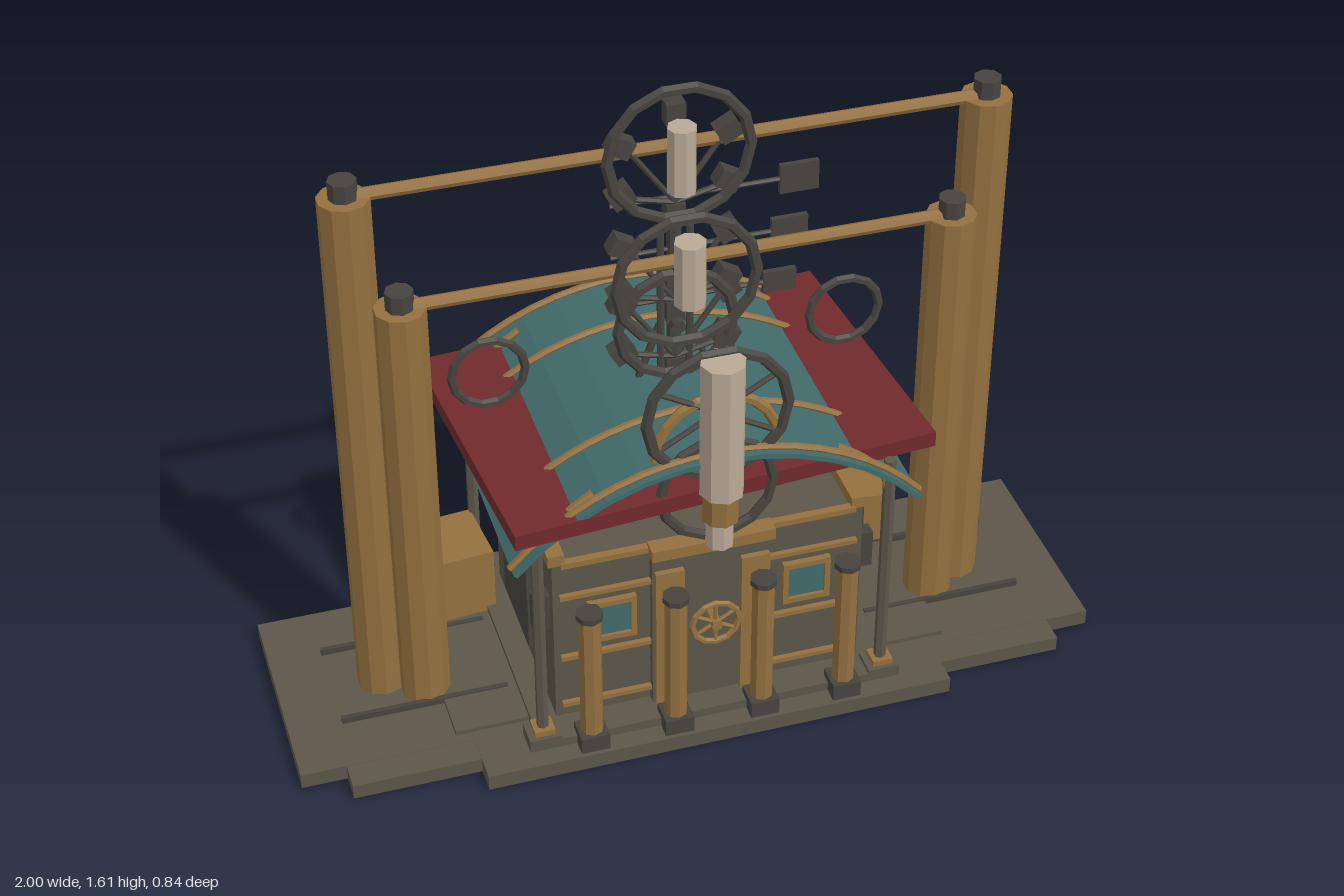
import * as THREE from 'three';

const mat = (name, color) => Object.assign(new THREE.MeshStandardMaterial({ color }), { name });

export function createModel() {
  const root = new THREE.Group();
  root.name = 'wheelWorkshop';
  const wood = mat('wood', 0x94703f);
  const stone = mat('stone', 0x5c564a);
  const iron = mat('darkIron', 0x47443f);
  const teal = mat('tealRoof', 0x416a6a);
  const red = mat('redCanopy', 0x702a2d);
  const bone = mat('paleTube', 0xb9aa96);

  // Faceted mesh helpers
  const add = (name, geo, m, x = 0, y = 0, z = 0) => {
    const g = geo.index ? geo.toNonIndexed() : geo;
    g.computeVertexNormals();
    const mesh = new THREE.Mesh(g, m);
    mesh.name = name;
    mesh.position.set(x, y, z);
    root.add(mesh);
    return mesh;
  };
  // Box given by its extents
  const box = (name, m, x0, x1, y0, y1, z0, z1) =>
    add(name, new THREE.BoxGeometry(x1 - x0, y1 - y0, z1 - z0), m, (x0 + x1) / 2, (y0 + y1) / 2, (z0 + z1) / 2);
  const post = (name, m, x, y0, y1, z, r, sides = 8) =>
    add(name, new THREE.CylinderGeometry(r, r, y1 - y0, sides), m, x, (y0 + y1) / 2, z);
  const rod = (name, m, a, b, r, sides = 6) => {
    const p = new THREE.Vector3(...a), q = new THREE.Vector3(...b);
    const mesh = add(name, new THREE.CylinderGeometry(r, r, p.distanceTo(q), sides), m);
    mesh.position.copy(p).lerp(q, 0.5);
    mesh.quaternion.setFromUnitVectors(new THREE.Vector3(0, 1, 0), q.sub(p).normalize());
    return mesh;
  };
  const ring = (name, m, x, y, z, R, r, seg = 14, arc = Math.PI * 2) =>
    add(name, new THREE.TorusGeometry(R, r, 6, seg, arc), m, x, y, z);
  const sides = [-1, 1];

  // Stepped base
  box('baseWide', stone, -1, 1, 0, 0.04, -0.285, 0.275);
  box('baseFront', stone, -0.89, 0.89, 0, 0.039, 0.27, 0.345);
  box('baseBack', stone, -0.58, 0.58, 0, 0.041, -0.385, 0.41);
  box('basePlate', stone, -0.62, 0.62, 0.04, 0.052, -0.25, 0.25);
  box('houseStep', stone, -0.44, 0.44, 0.04, 0.065, -0.3, 0.36);
  for (const s of sides) {
    for (const z of [-0.13, 0.125]) box('groundRail', iron, s * 0.665 - 0.205, s * 0.665 + 0.205, 0.04, 0.056, z - 0.006, z + 0.006);
  }

  // Twin gate frames: pillars, caps and crossbeams
  for (const [x, z, h] of [[0.745, 0, 1.43], [0.65, 0.065, 1.165]]) {
    for (const s of sides) {
      post('gatePillar', wood, s * x, 0.04, h, z, 0.06, 10);
      post('pillarCap', iron, s * x, h, h + 0.045, z, 0.033, 8);
    }
    rod('crossbeam', wood, [-x, h, z], [x, h, z], 0.016, 8);
  }

  // House body
  box('houseBody', stone, -0.38, 0.38, 0.05, 0.53, -0.27, 0.28);
  box('entryBlock', stone, -0.145, 0.145, 0.05, 0.52, 0.28, 0.3);
  box('entryLintel', wood, -0.15, 0.15, 0.515, 0.545, 0.275, 0.32);
  box('frontCornice', wood, -0.36, 0.36, 0.522, 0.537, 0.27, 0.29);
  box('backLedge', iron, -0.37, 0.37, 0.06, 0.085, -0.285, -0.27);
  box('backTopRail', iron, -0.34, 0.34, 0.53, 0.545, -0.27, -0.24);
  for (const s of sides) {
    box('sideCornice', wood, s * 0.37 - 0.02, s * 0.37 + 0.02, 0.53, 0.56, -0.28, 0.285);
    box('sidePanel', iron, s * 0.383 - 0.005, s * 0.383 + 0.005, 0.1, 0.44, -0.18, 0.06);
    box('sideLamp', iron, s * 0.4 - 0.02, s * 0.4 + 0.02, 0.32, 0.42, 0.22, 0.255);
    box('sideLamp', iron, s * 0.4 - 0.02, s * 0.4 + 0.02, 0.365, 0.475, 0.15, 0.19);
    // Doorposts and horizontal rails
    box('doorPost', wood, s * 0.105 - 0.035, s * 0.105 + 0.035, 0.065, 0.47, 0.29, 0.315);
    for (const y of [0.105, 0.25, 0.435]) box('wallRail', wood, s * 0.255 - 0.11, s * 0.255 + 0.11, y - 0.006, y + 0.006, 0.28, 0.293);
    // Window with frame
    box('windowPane', teal, s * 0.24 - 0.045, s * 0.24 + 0.045, 0.3, 0.39, 0.281, 0.288);
    for (const d of sides) {
      box('windowFrame', wood, s * 0.24 + d * 0.052 - 0.007, s * 0.24 + d * 0.052 + 0.007, 0.285, 0.405, 0.28, 0.296);
      box('windowFrame', wood, s * 0.24 - 0.055, s * 0.24 + 0.055, 0.345 + d * 0.052 - 0.007, 0.345 + d * 0.052 + 0.007, 0.28, 0.296);
    }
    // Front columns
    for (const x of [0.107, 0.315]) {
      post('frontColumn', wood, s * x, 0.085, 0.43, 0.365, 0.028, 8);
      post('columnCap', iron, s * x, 0.43, 0.445, 0.365, 0.033, 8);
      box('columnFoot', iron, s * x - 0.035, s * x + 0.035, 0.04, 0.085, 0.33, 0.4);
    }
  }

  // Hand wheel on the door
  ring('handWheel', wood, 0, 0.31, 0.335, 0.058, 0.008, 12);
  for (let i = 0; i < 3; i++) {
    const a = i * Math.PI / 3 + Math.PI / 6, c = Math.cos(a) * 0.058, d = Math.sin(a) * 0.058;
    rod('handWheelSpoke', wood, [-c, 0.31 - d, 0.335], [c, 0.31 + d, 0.335], 0.005);
  }
  rod('handWheelHub', wood, [0, 0.31, 0.295], [0, 0.31, 0.35], 0.014, 8);

  // Vaulted roof
  const R = 0.656, cy = 0.164, half = 0.843;
  const arcPoints = (r, h) => Array.from({ length: 13 }, (_, i) => {
    const a = -h + (2 * h * i) / 12;
    return new THREE.Vector2(Math.sin(a) * r, cy + Math.cos(a) * r);
  });
  const vault = new THREE.Shape([...arcPoints(R, half), ...arcPoints(R - 0.012, half).reverse()]);
  add('vaultedRoof', new THREE.ExtrudeGeometry(vault, { depth: 0.77, bevelEnabled: false }), teal, 0, 0, -0.4);
  for (const [z, h] of [[-0.39, half], [-0.21, 0.71], [0.165, 0.71], [0.345, half]]) {
    const path = new THREE.CatmullRomCurve3(arcPoints(R + 0.004, h).map(p => new THREE.Vector3(p.x, p.y, z)));
    add('roofRib', new THREE.TubeGeometry(path, 18, 0.009, 6), wood);
  }

  // Flat canopy, slightly turned
  box('redCanopy', red, -0.518, 0.518, 0.685, 0.725, -0.378, 0.344).rotation.y = 0.082;

  // Canopy posts with feet and curved braces
  for (const s of sides) {
    for (const z of [0.325, -0.335]) {
      post('canopyPost', stone, s * 0.425, 0.06, 0.69, z, 0.015, 6);
      box('postFoot', stone, s * 0.425 - 0.04, s * 0.425 + 0.04, 0.04, 0.075, z - 0.035, z + 0.035);
      box('postCollar', wood, s * 0.425 - 0.025, s * 0.425 + 0.025, 0.075, 0.09, z - 0.025, z + 0.025);
      const brace = new THREE.CatmullRomCurve3([[0.425, 0.57], [0.41, 0.65], [0.36, 0.71], [0.29, 0.76]]
        .map(([x, y]) => new THREE.Vector3(s * x, y, z)));
      add('curvedBrace', new THREE.TubeGeometry(brace, 8, 0.009, 6), wood);
    }
    ring('sideHoop', iron, s * 0.435, 0.87, -0.04, 0.088, 0.011, 14);
  }

  // Crates behind the pillars
  box('rightCrate', wood, 0.435, 0.62, 0.04, 0.2, -0.31, -0.135).rotation.y = -0.11;
  box('leftCrate', wood, -0.62, -0.425, 0.04, 0.235, -0.33, -0.15).rotation.y = 0.09;

  // Central mast
  post('mast', iron, 0, 0.78, 1.4, 0, 0.018, 8);
  for (const s of sides) {
    post('mastStay', iron, s * 0.035, 0.8, 1.22, 0.01, 0.009, 6);
    rod('mastBrace', iron, [s * 0.035, 0.95, 0], [s * 0.09, 0.8, 0], 0.009);
  }

  // Wheels with spokes, paddles and vane arms
  for (const [y, z, hubY] of [[1.43, 0.042, 1.385], [1.13, 0.1, 1.12], [0.96, 0.02, 0.96]]) {
    const r = hubY < 1 ? 0.14 : 0.167;
    ring('greatWheel', iron, 0, y, z, r, 0.014, 14);
    for (let i = 0; i < 6; i++) {
      const a = Math.PI / 6 + i * Math.PI / 3, c = Math.cos(a), d = Math.sin(a);
      rod('wheelSpoke', iron, [0, hubY - 0.1, 0.01], [c * 0.14, hubY + d * 0.14, 0.01], 0.007);
      const paddle = add('paddle', new THREE.BoxGeometry(0.055, 0.045, 0.04), iron, c * 0.145, hubY + d * 0.13, 0);
      paddle.rotation.z = a;
    }
    rod('wheelAxle', iron, [0, y, -0.01], [0, y, z + 0.02], 0.018, 8);
  }
  for (const [y, x0, x1, h] of [[1.293, 0.25, 0.343, 0.037], [1.155, 0.232, 0.32, 0.034], [1.018, 0.215, 0.295, 0.028]]) {
    rod('vaneArm', iron, [-0.15, y, 0], [x0, y, 0], 0.006);
    box('vanePlate', iron, x0, x1, y - h, y + h, -0.007, 0.007);
  }

  // Front wheel assembly
  ring('frontWheel', iron, 0, 0.925, 0.335, 0.167, 0.014, 14);
  ring('lowerFrontWheel', iron, 0, 0.715, 0.335, 0.135, 0.013, 14);
  ring('woodenArch', wood, 0, 0.82, 0.325, 0.145, 0.013, 10, Math.PI);
  for (let i = 0; i < 3; i++) {
    const a = i * Math.PI / 3 + Math.PI / 6, c = Math.cos(a) * 0.16, d = Math.sin(a) * 0.16;
    rod('frontWheelSpoke', iron, [-c, 0.925 - d, 0.33], [c, 0.925 + d, 0.33], 0.007);
  }

  // Pale tubes
  post('upperTube', bone, 0, 1.345, 1.51, 0.06, 0.034, 8);
  post('middleTube', bone, 0, 1.085, 1.25, 0.125, 0.038, 8);
  post('frontTube', bone, 0, 0.73, 1.09, 0.367, 0.053, 8);
  post('tubeCollar', wood, 0, 0.65, 0.73, 0.362, 0.044, 8);
  post('tubeTip', bone, 0, 0.57, 0.65, 0.355, 0.034, 8);
  return root;
}
